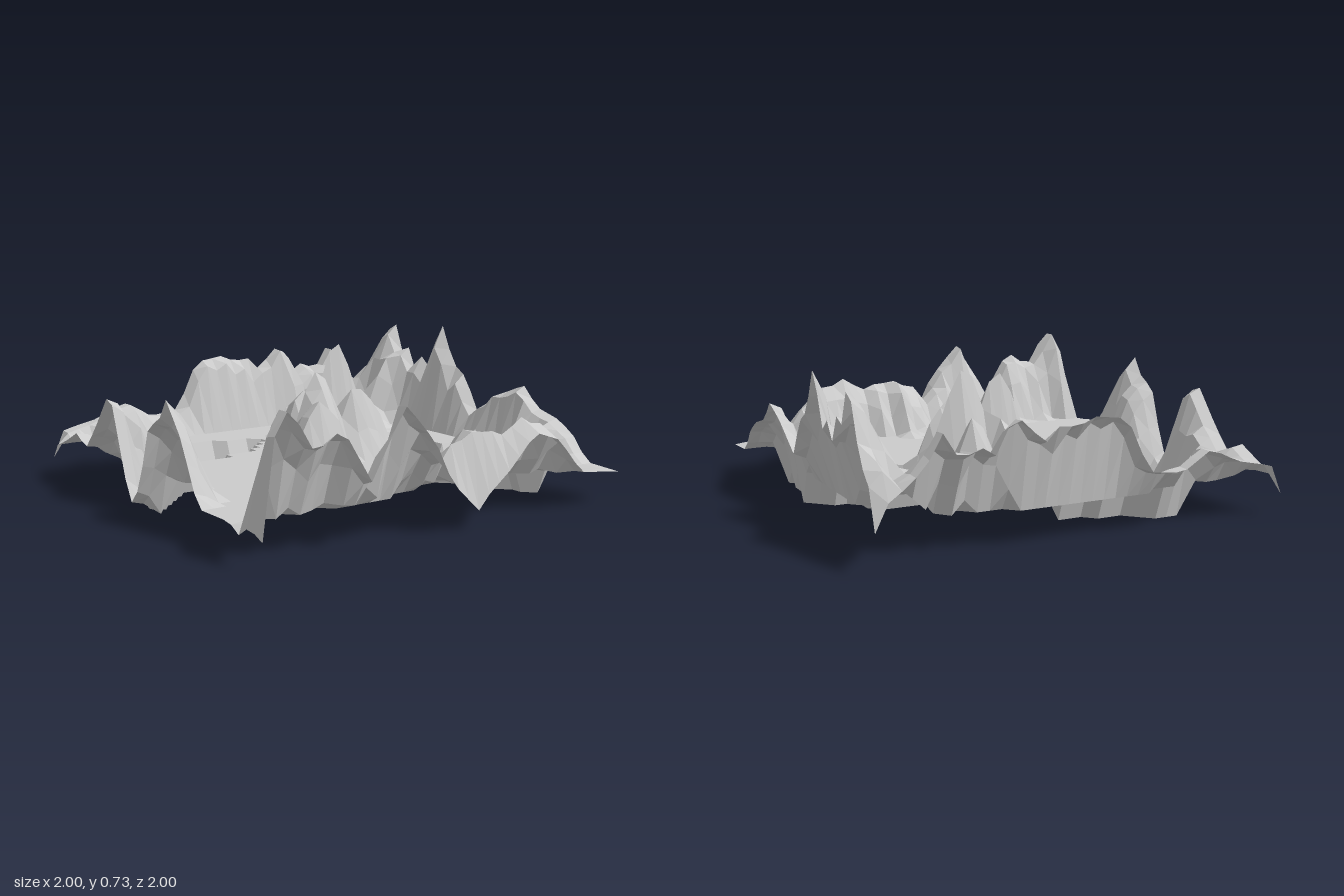
import * as THREE from 'three';

const CELLS = 34;
const PLAIN = 0.16;

// Edge ridges: [position along edge, crest height, width inward, rim height where it falls outward]
const RIDGES = {
  back: [[-1, .3, .12, .18], [-.94, .42, .16, .36], [-.85, .44, .22], [-.76, .68, .2], [-.7, .7, .2],
    [-.65, .55, .22], [-.6, .6, .2], [-.53, .46, .12], [-.47, .54, .1], [-.42, .47, .1], [-.36, .62, .1],
    [-.3, .74, .12], [-.2, .53, .1], [-.1, .47, .1], [0, .3, .11], [.2, .42, .13], [.35, .48, .15],
    [.45, .38, .15], [.6, .34, .17], [.7, .28, .15], [.8, .16, .1], [1, .15, .1]],
  left: [[-1, .15, .1], [-.75, .18, .12], [-.6, .4, .17, .35], [-.45, .48, .2, .4], [-.3, .44, .2, .25],
    [-.18, .45, .25, .16], [-.12, .44, .27, .09], [0, .38, .24, .2], [.06, .34, .2, .28], [.12, .4, .2],
    [.2, .5, .17], [.3, .6, .16], [.47, .3, .13], [.62, .54, .17], [.75, .45, .15], [.87, .65, .2],
    [.94, .6, .2, .55], [1, .2, .18, .13]],
  right: [[-1, .3, .12, .18], [-.94, .34, .16, .3], [-.85, .36, .2], [-.77, .44, .22], [-.71, .56, .2],
    [-.62, .42, .17], [-.55, .5, .17], [-.48, .42, .17], [-.42, .55, .16], [-.34, .58, .15], [-.25, .46, .11],
    [-.16, .55, .09], [-.1, .52, .09], [0, .56, .09], [.15, .54, .09], [.2, .46, .09], [.27, .29, .1],
    [.45, .27, .15], [.6, .36, .18], [.75, .29, .14], [.94, .25, .12], [1, .11, .1]],
  front: [[-1, .11, .1], [-.94, .19, .12], [-.85, .22, .2], [-.7, .29, .2], [-.6, .23, .18], [-.5, .33, .2],
    [-.35, .51, .22], [-.28, .48, .2], [-.2, .2, .14], [-.1, .03, .1], [0, .25, .14], [.08, .48, .2],
    [.15, .45, .18], [.23, .59, .18], [.35, .45, .16], [.43, .3, .14], [.5, .16, .1], [.75, .16, .1],
    [.82, .12, .1], [.9, .17, .1], [1, .13, .1]],
};

// Free-standing hills: [x, z, height, radius x, radius z]
const HILLS = [
  [-.3, -.28, .68, .064, .21], [-.39, -.27, .5, .13, .14], [-.37, -.1, .48, .13, .12], [-.53, -.2, .26, .12, .16],
  [.02, .05, .7, .08, .18], [.09, .1, .52, .1, .2], [.05, -.17, .54, .1, .21],
  [-.72, -.8, .34, .18, .16], [-.56, -.66, .26, .17, .12],
];

// Sunken basins with their floor at zero
const BASINS = [
  [[-.07, -.3], [-.07, -.6], [.1, -.72], [.16, -.89], [.68, -.87], [.62, -.75], [.3, -.6], [.1, -.42], [.0, -.33]],
  [[-.62, .15], [-.59, .03], [-.55, .1], [-.46, .13], [-.36, .33], [-.34, .55], [-.06, .83], [-.05, 1.1],
    [-.4, 1.1], [-.42, .87], [-.6, .73], [-.72, .62], [-.8, .64], [-.8, .48], [-.7, .36]],
];

function inside(poly, x, z) {
  let hit = false;
  poly.forEach(([ax, az], i) => {
    const [bx, bz] = poly[(i + 1) % poly.length];
    if ((az > z) !== (bz > z) && x < ax + (bx - ax) * (z - az) / (bz - az)) hit = !hit;
  });
  return hit;
}

// Crest height, width and rim height interpolated along an edge
function sample(ridge, t) {
  let i = 0;
  while (i < ridge.length - 2 && t > ridge[i + 1][0]) i++;
  const [ta, ha, wa, ra = ha] = ridge[i];
  const [tb, hb, wb, rb = hb] = ridge[i + 1];
  const k = THREE.MathUtils.clamp((t - ta) / (tb - ta), 0, 1);
  const mix = (a, b) => a + (b - a) * k;
  return [mix(ha, hb), mix(wa, wb), mix(ra, rb)];
}

// Repeatable roughness from -1 to 1
function rough(x, z) {
  const s = Math.sin(x * 127.1 + z * 311.7 + 4) * 43758.5453;
  return (s - Math.floor(s)) * 2 - 1;
}

function heightAt(x, z) {
  const base = BASINS.some((p) => inside(p, x, z)) ? 0 : PLAIN;
  // Ridges: edge, position along it, distance from it, steepness of the foot
  const edges = [[RIDGES.back, x, z + 1, 3], [RIDGES.front, x, 1 - z, 2],
    [RIDGES.left, z, 1 - x, 2.5], [RIDGES.right, z, x + 1, 4]];
  let rise = 0, dip = 0, top = 1;
  for (const [ridge, t, d, steep] of edges) {
    const [crest, w, rim] = sample(ridge, t);
    const width = w * (1 + .2 * rough(Math.round(t * 17), 7));
    if (d >= width) continue;
    const onRim = d < .01;
    const lift = ((onRim ? rim : crest) - base) * (1 - (d / width) ** steep);
    rise = Math.max(rise, lift);
    if (onRim) {
      dip = Math.min(dip, lift);
      top = Math.min(top, rim);
    }
  }
  // The rim outline decides the height along the border
  if (top < 1) return Math.max(0, base + Math.min(rise > 0 ? rise : dip, top - base));
  for (const [hx, hz, h, rx, rz] of HILLS) {
    const d = Math.hypot((x - hx) / rx, (z - hz) / rz);
    if (d < 1) rise = Math.max(rise, (h - base) * (1 - d ** 1.4));
  }
  return base + rise * (1 + .08 * rough(x, z));
}

export function createModel() {
  const group = new THREE.Group();
  group.name = 'mountainLandscape';

  // One faceted sheet: plain, basins, border ridges and inner hills
  const geometry = new THREE.PlaneGeometry(2, 2, CELLS, CELLS).rotateX(-Math.PI / 2);
  const pos = geometry.attributes.position;
  for (let i = 0; i < pos.count; i++) pos.setY(i, heightAt(pos.getX(i), pos.getZ(i)));
  geometry.computeVertexNormals();

  const terrain = new THREE.Mesh(geometry, new THREE.MeshStandardMaterial({
    color: 0xcccccc, flatShading: true, side: THREE.DoubleSide,
  }));
  terrain.name = 'terrain';
  group.add(terrain);
  return group;
}
